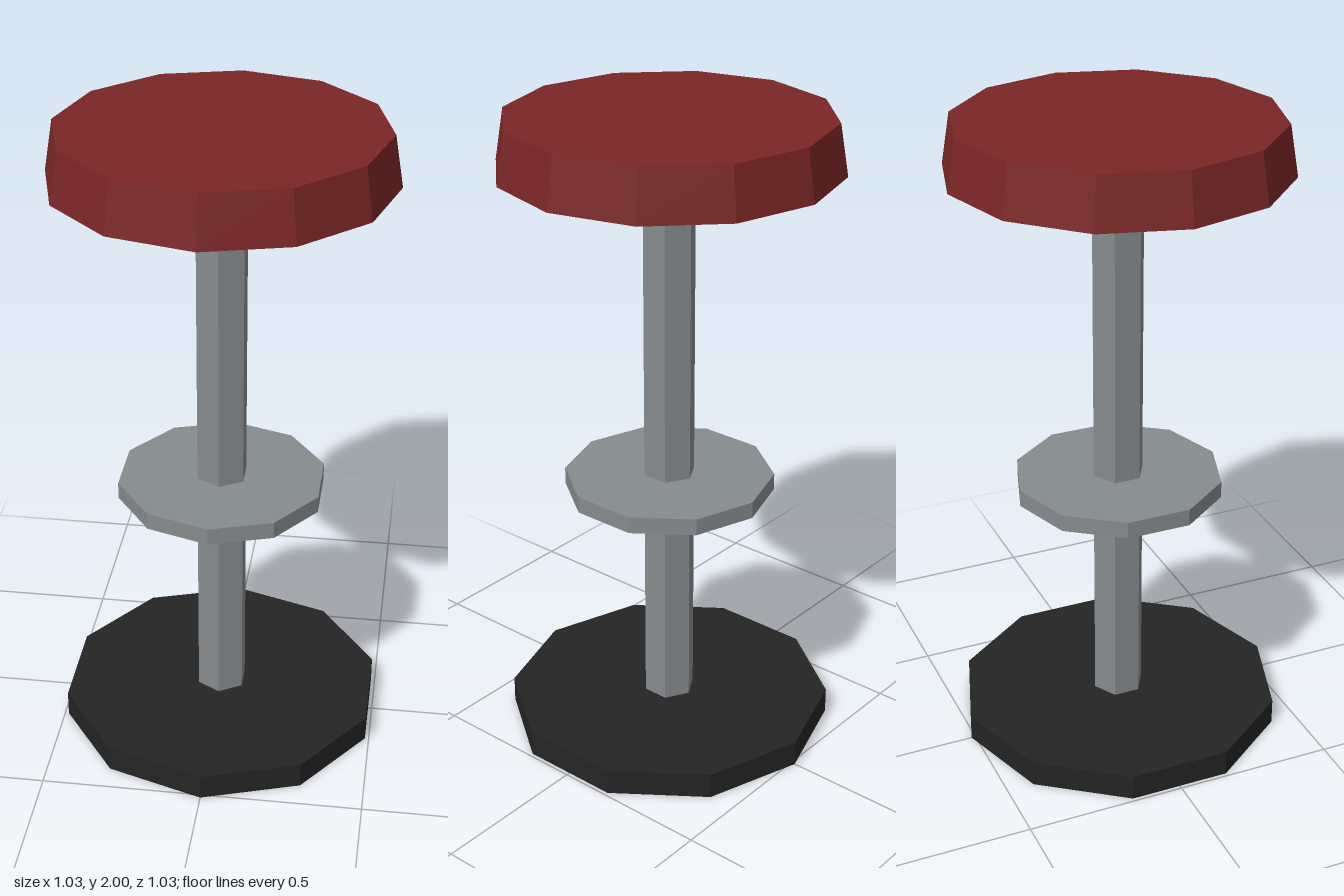
import * as THREE from 'three';

function flat(name, color) {
  const m = new THREE.MeshStandardMaterial({ color, flatShading: true });
  m.name = name;
  return m;
}

export function createModel() {
  const stool = new THREE.Group();
  stool.name = 'barStool';

  const red = flat('red upholstery', 0x7a2626);
  const steel = flat('grey steel', 0x868b8e);
  const black = flat('black base', 0x242424);

  // Faceted round part standing between two heights
  function disc(name, material, rTop, rBottom, y0, y1, sides) {
    const mesh = new THREE.Mesh(
      new THREE.CylinderGeometry(rTop, rBottom, y1 - y0, sides), material);
    mesh.name = name;
    mesh.position.y = (y0 + y1) / 2;
    stool.add(mesh);
  }

  disc('base', black, 0.513, 0.513, 0, 0.082, 10);
  disc('pole', steel, 0.082, 0.082, 0.082, 1.845, 6);
  disc('footrest', steel, 0.325, 0.325, 0.815, 0.868, 10);
  disc('seat', red, 0.487, 0.513, 1.845, 2, 12);

  return stool;
}
